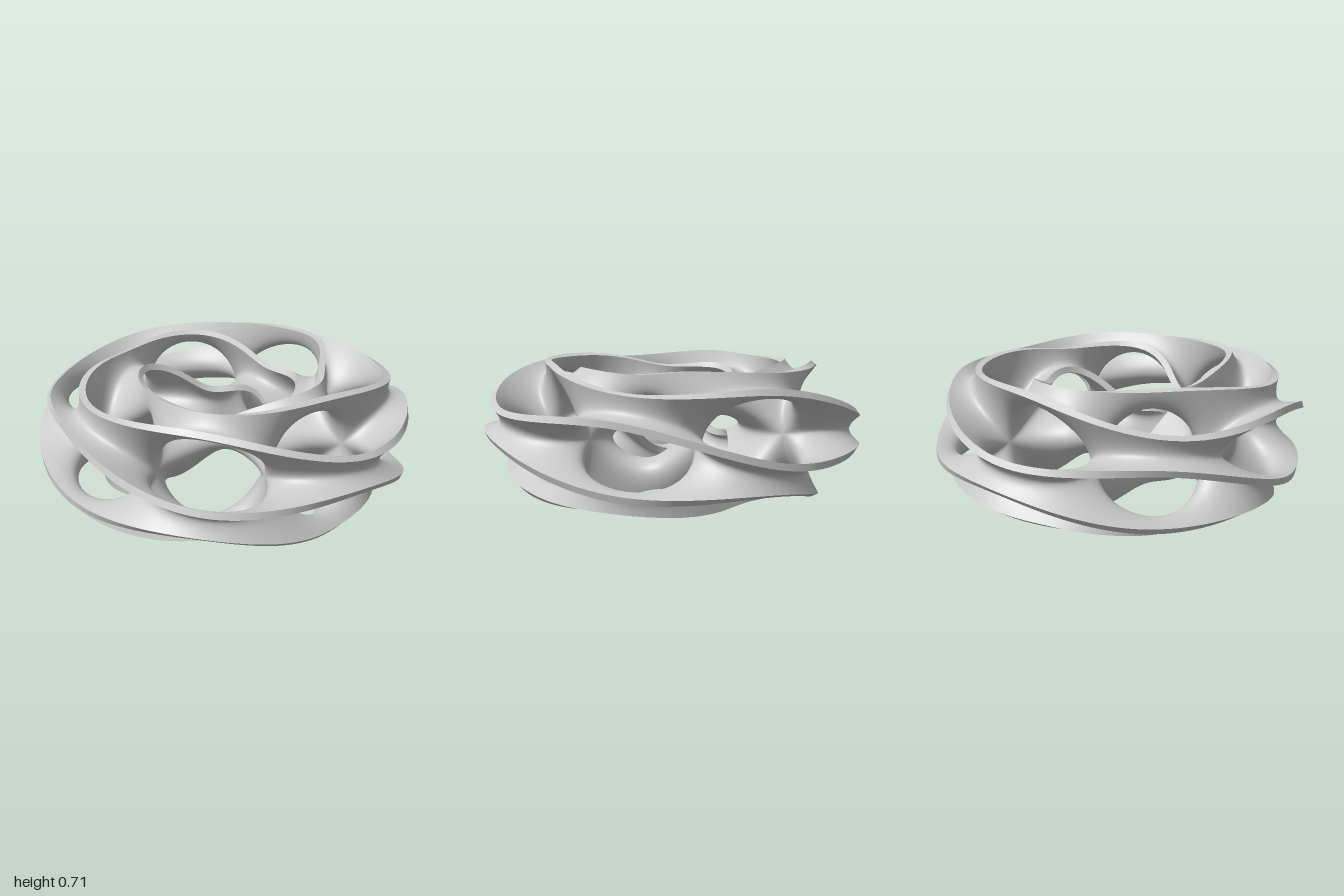
import * as THREE from 'three';

const RING = 0.65;                 // radius of the ring's core circle
const TUBE = 0.35;                 // distance from core to the rims
const SCALE = 0.225;               // size of the saddle tower cross-section
const HALF = 0.0175;               // half of the sheet thickness
const STORIES = 7, BRANCHES = 4;   // saddle storeys round the ring, sheets per storey
const U = 24, S = 24;              // grid steps along the ring and across a sheet
const START = THREE.MathUtils.degToRad(182);
const TILT = THREE.MathUtils.degToRad(23);
const TWIST = -0.375;              // turns of the cross-section per turn of the ring

const turn = (theta) => TILT + TWIST * (theta - START);

// Saddle tower field: zero on the surface. a points outward, b points up.
function field(theta, a, b) {
  const rho = Math.hypot(a, b) / SCALE;
  const alpha = 2 * (Math.atan2(b, a) - turn(theta)) + Math.PI / 4;
  return Math.sinh(rho * Math.cos(alpha)) * Math.sinh(rho * Math.sin(alpha))
    - Math.cos((theta - START) * STORIES / 2);
}

// Point, surface normal and rim normal at a place in the twisted tube
function sample(theta, a, b) {
  const h = 1e-4, c = Math.cos(theta), s = Math.sin(theta);
  const out = new THREE.Vector3(c, 0, -s);
  const up = new THREE.Vector3(0, 1, 0);
  const along = new THREE.Vector3(-s, 0, -c);
  const slope = (t, x, y) => field(theta + t, a + x, b + y) - field(theta - t, a - x, b - y);
  const n = new THREE.Vector3()
    .addScaledVector(out, slope(0, h, 0))
    .addScaledVector(up, slope(0, 0, h))
    .addScaledVector(along, slope(h, 0, 0) / (RING + a))
    .normalize();
  const p = out.clone().multiplyScalar(RING + a);
  p.y = 0.355 + b;
  const edge = out.clone().multiplyScalar(a).addScaledVector(up, b);
  edge.addScaledVector(n, -edge.dot(n)).normalize();
  return { p, n, edge };
}

// Half-length of the hyperbola arc that ends at the tube radius
function arcLimit(c) {
  const rm = TUBE / SCALE;
  let lo = 0, hi = Math.SQRT2 * rm;
  for (let i = 0; i < 40; i++) {
    const p = (lo + hi) / 2, q = Math.acosh(2 * c + Math.cosh(p));
    if (p * p + q * q < 2 * rm * rm) lo = p; else hi = p;
  }
  return lo;
}

// One curved sheet between two hubs, as rows of samples
function sheetRows(story, branch) {
  const rows = [];
  for (let i = 0; i <= U; i++) {
    const w = Math.PI * (1 - Math.cos(Math.PI * i / U)) / 2;
    const theta = START + (2 * Math.PI / STORIES) * (story + w / Math.PI - 0.5);
    const c = Math.max(0, Math.sin(w)), limit = arcLimit(c);
    const row = [];
    for (let j = 0; j <= S; j++) {
      const p = limit * (2 * j / S - 1);
      const q = Math.acosh(Math.max(1, 2 * c + Math.cosh(p)));
      const r = SCALE * Math.sqrt((p * p + q * q) / 2);
      const spread = q > 1e-9 ? Math.atan2(p, q) / 2 : 0;
      const phi = turn(theta) + branch * Math.PI / 2 + (story % 2) * Math.PI / 4 + spread;
      row.push(sample(theta, r * Math.cos(phi), r * Math.sin(phi)));
    }
    rows.push(row);
  }
  return rows;
}

// Grid of [point, normal] rows, wound to agree with its normals
function addGrid(data, rows) {
  const base = data.pos.length / 3, cols = rows[0].length;
  for (const row of rows) for (const [p, n] of row) {
    data.pos.push(p.x, p.y, p.z);
    data.nor.push(n.x, n.y, n.z);
  }
  const mid = rows.length >> 1, k = cols > 2 ? cols >> 1 : 0;
  const o = rows[mid][k][0];
  const du = rows[mid + 1][k][0].clone().sub(o), dv = rows[mid][k + 1][0].clone().sub(o);
  const flip = du.cross(dv).dot(rows[mid][k][1]) < 0;
  for (let i = 0; i < rows.length - 1; i++) for (let j = 0; j < cols - 1; j++) {
    const a = base + i * cols + j, b = a + cols, c = b + 1, d = a + 1;
    if (flip) data.idx.push(a, c, b, a, d, c);
    else data.idx.push(a, b, c, a, c, d);
  }
}

function toMesh(data, name, material) {
  const g = new THREE.BufferGeometry();
  g.setAttribute('position', new THREE.Float32BufferAttribute(data.pos, 3));
  g.setAttribute('normal', new THREE.Float32BufferAttribute(data.nor, 3));
  g.setIndex(data.idx);
  const mesh = new THREE.Mesh(g, material);
  mesh.name = name;
  return mesh;
}

export function createModel() {
  const group = new THREE.Group();
  group.name = 'twistedSaddleRing';
  const material = new THREE.MeshStandardMaterial({ color: 0xcccccc, side: THREE.DoubleSide });
  const shift = ({ p, n }, side) => p.clone().addScaledVector(n, side * HALF);

  for (let story = 0; story < STORIES; story++) {
    const sheets = { pos: [], nor: [], idx: [] };
    const rims = { pos: [], nor: [], idx: [] };
    for (let branch = 0; branch < BRANCHES; branch++) {
      const rows = sheetRows(story, branch);
      // Both faces of the sheet
      for (const side of [1, -1]) {
        addGrid(sheets, rows.map((row) => row.map((v) =>
          [shift(v, side), v.n.clone().multiplyScalar(side)])));
      }
      // Flat rims along its two free edges
      for (const end of [0, S]) {
        addGrid(rims, rows.map((row) => [1, -1].map((side) =>
          [shift(row[end], side), row[end].edge])));
      }
    }
    group.add(toMesh(sheets, `saddleSheets${story + 1}`, material));
    group.add(toMesh(rims, `rims${story + 1}`, material));
  }
  return group;
}
